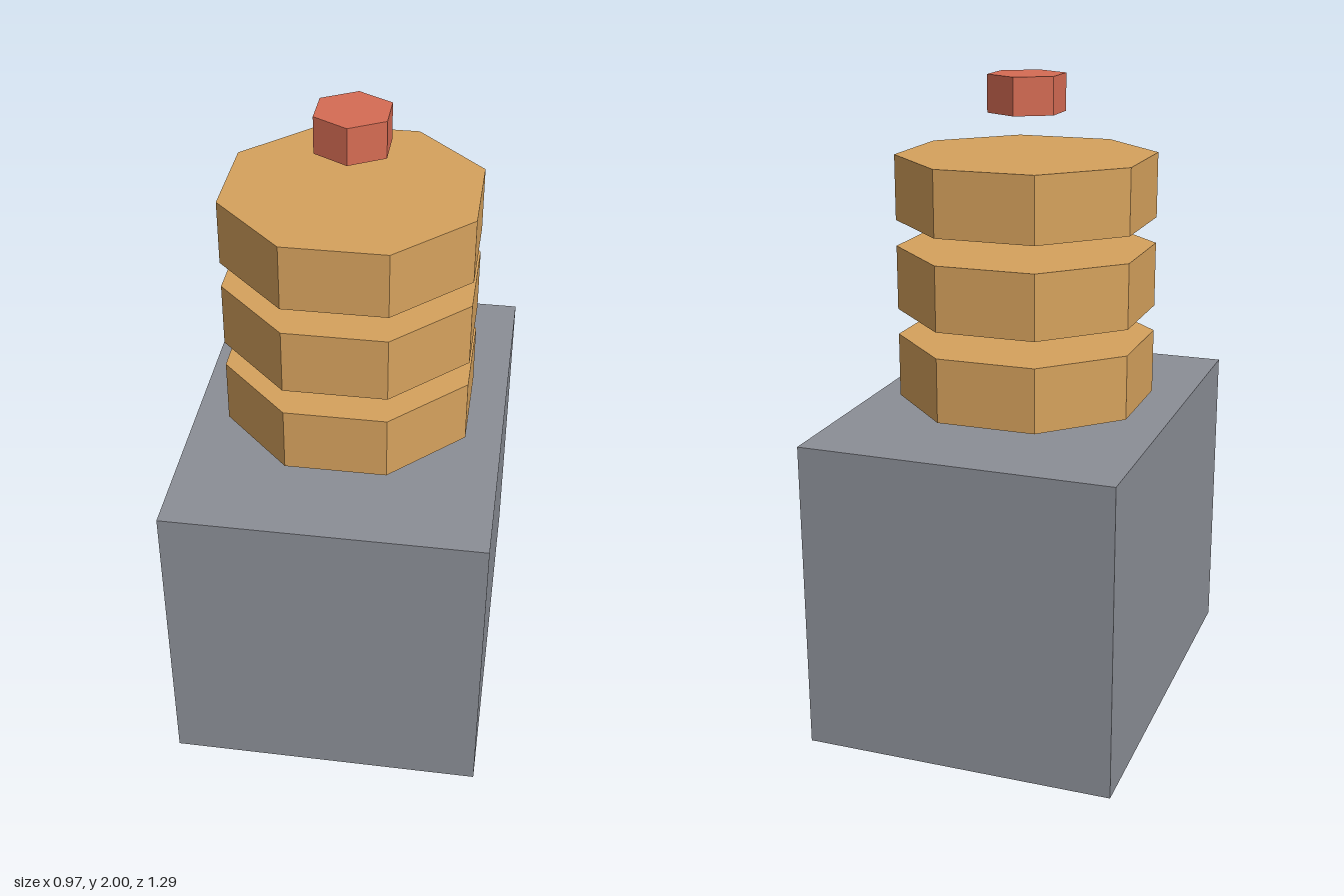
import * as THREE from 'three';

export function createModel() {
  const model = new THREE.Group();
  const material = (name, color) => {
    const m = new THREE.MeshStandardMaterial({ color });
    m.name = name;
    return m;
  };
  const grey = material('slate grey', 0x8b8e96);
  const gold = material('warm gold', 0xd6a25d);
  const red = material('coral red', 0xd66c54);

  const add = (name, geometry, mat, y) => {
    const mesh = new THREE.Mesh(geometry, mat);
    mesh.name = name;
    mesh.position.y = y;
    model.add(mesh);
  };
  // Faceted disc with hard edges between its sides
  const prism = (radius, height, sides) => {
    const g = new THREE.CylinderGeometry(radius, radius, height, sides).toNonIndexed();
    g.computeVertexNormals();
    return g;
  };

  // Block base
  add('base', new THREE.BoxGeometry(0.968, 0.972, 1.29), grey, 0.486);

  // Three floating octagonal discs, flat sides facing the axes
  const disc = prism(0.403, 0.201, 8).rotateY(Math.PI / 8);
  for (let i = 0; i < 3; i++) add(`disc${i + 1}`, disc, gold, 1.096 + i * 0.282);

  // Hexagonal cap hovering on top
  add('cap', prism(0.121, 0.114, 6), red, 1.943);

  return model;
}
